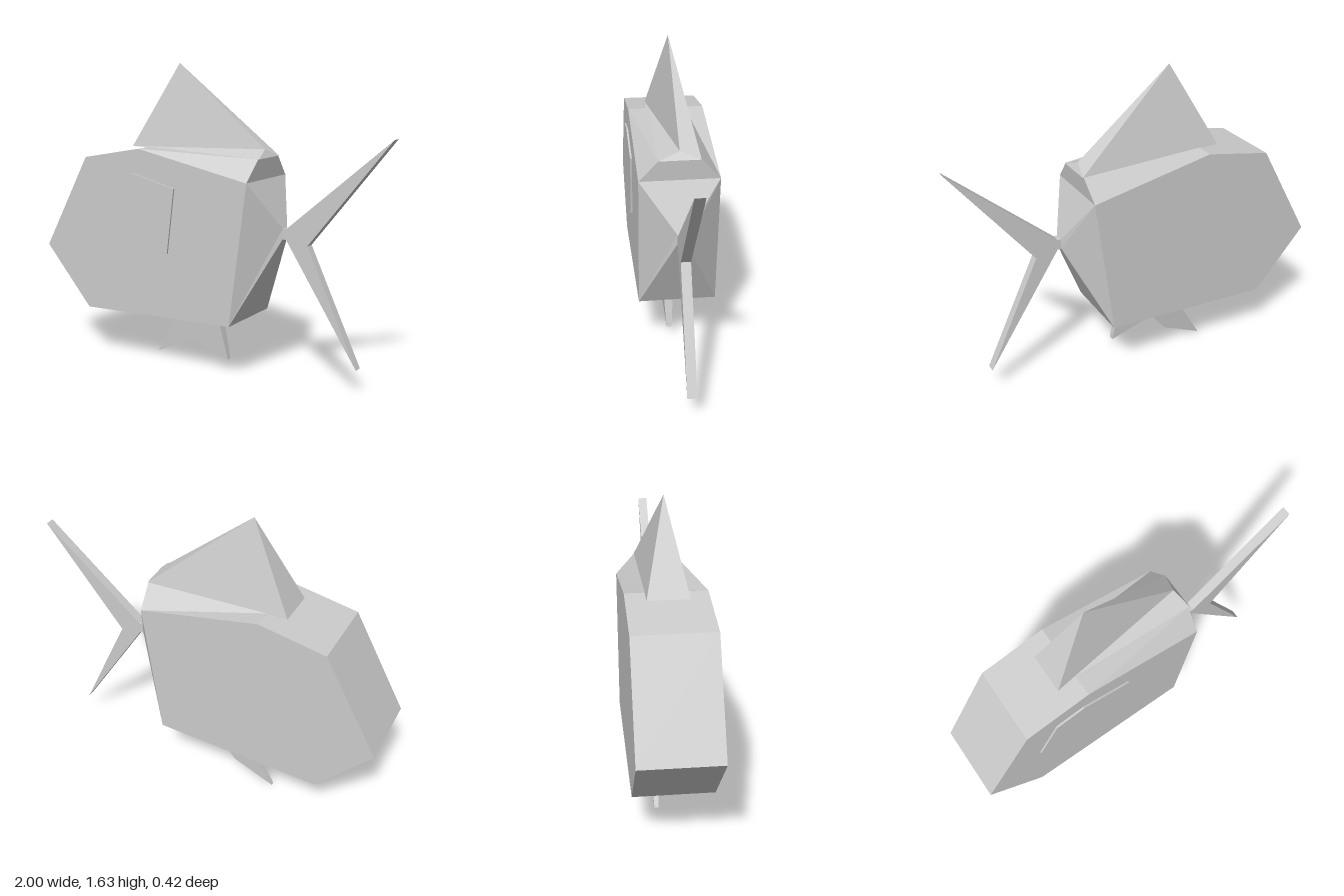
import * as THREE from 'three';

const MID = -0.005; // z of the plane of symmetry
const material = new THREE.MeshStandardMaterial({ color: 0xcccccc, flatShading: true });

// Flat plate from a side outline; half(y) gives half the thickness at each height
function plate(name, outline, z, half) {
  const shape = new THREE.Shape(outline.map(([x, y]) => new THREE.Vector2(x, y)));
  const geo = new THREE.ExtrudeGeometry(shape, { depth: 1, bevelEnabled: false });
  const p = geo.attributes.position;
  for (let i = 0; i < p.count; i++) {
    p.setZ(i, z + (p.getZ(i) > 0.5 ? 1 : -1) * half(p.getY(i)));
  }
  geo.computeVertexNormals();
  const mesh = new THREE.Mesh(geo, material);
  mesh.name = name;
  return mesh;
}

// Closed solid between two cross-sections running along +x
function loft(name, a, b) {
  const v = [];
  const n = a.length;
  for (let i = 0; i < n; i++) {
    const j = (i + 1) % n;
    v.push(...a[i], ...b[i], ...b[j], ...a[i], ...b[j], ...a[j]);
  }
  for (let i = 1; i < n - 1; i++) {
    v.push(...a[0], ...a[i], ...a[i + 1], ...b[0], ...b[i + 1], ...b[i]);
  }
  const geo = new THREE.BufferGeometry();
  geo.setAttribute('position', new THREE.Float32BufferAttribute(v, 3));
  geo.computeVertexNormals();
  const mesh = new THREE.Mesh(geo, material);
  mesh.name = name;
  return mesh;
}

// Four-cornered section from a low and a high point, each [x, y, halfWidth]
function section([x0, y0, w0], [x1, y1, w1]) {
  return [
    [x0, y0, MID - w0], [x0, y0, MID + w0],
    [x1, y1, MID + w1], [x1, y1, MID - w1],
  ];
}

// Three-cornered section: a base and a single point on the ridge
function wedge([x0, y0, w0], [x1, y1]) {
  return [[x0, y0, MID - w0], [x0, y0, MID + w0], [x1, y1, MID]];
}

export function createModel() {
  const fish = new THREE.Group();
  fish.name = 'fish';

  // Slab-sided body
  fish.add(plate('body', [
    [-1, 0.61], [-0.71, 0.28], [0.21, 0.31], [0.31, 1.06], [-0.35, 1.195], [-0.71, 1.13],
  ], MID, () => 0.205));

  // Raised back under the dorsal fin
  fish.add(loft('back',
    section([-0.35, 1.195, 0.205], [-0.35, 1.196, 0.105]),
    section([0.31, 1.06, 0.205], [0.32, 1.17, 0.105])));

  // Dorsal fin
  fish.add(loft('dorsalFin',
    wedge([-0.46, 1.195, 0.105], [-0.22, 1.64]),
    wedge([0.325, 1.17, 0.105], [0.3, 1.21])));

  // Taper from the body to the tail
  fish.add(loft('tailBase',
    section([0.21, 0.31, 0.205], [0.31, 1.06, 0.205]),
    section([0.42, 0.76, 0.025], [0.42, 0.815, 0.025])));

  // Forked tail with a short neck
  fish.add(plate('tailFin', [
    [0.41, 0.76], [0.44, 0.76], [0.84, 0.14], [0.56, 0.74], [1, 1.295], [0.44, 0.815], [0.41, 0.815],
  ], MID, () => 0.025));

  // Belly fins, thinner towards their tips
  const taper = (y) => 0.01 + 0.06 * Math.max(0, y);
  fish.add(plate('rightBellyFin', [
    [-0.41, 0.005], [-0.18, 0.11], [-0.14, 0.16], [0, 0.33], [-0.22, 0.33],
  ], -0.06, taper));
  fish.add(plate('leftBellyFin', [
    [-0.18, 0.165], [0.11, 0.07], [0.05, 0.33], [-0.25, 0.33],
  ], 0.027, taper));

  // Eye plate on one side only
  fish.add(plate('eye', [
    [-0.55, 0.63], [-0.165, 0.65], [-0.12, 1], [-0.39, 1.065], [-0.55, 1.035], [-0.67, 0.79],
  ], 0.2, () => 0.01));

  return fish;
}
